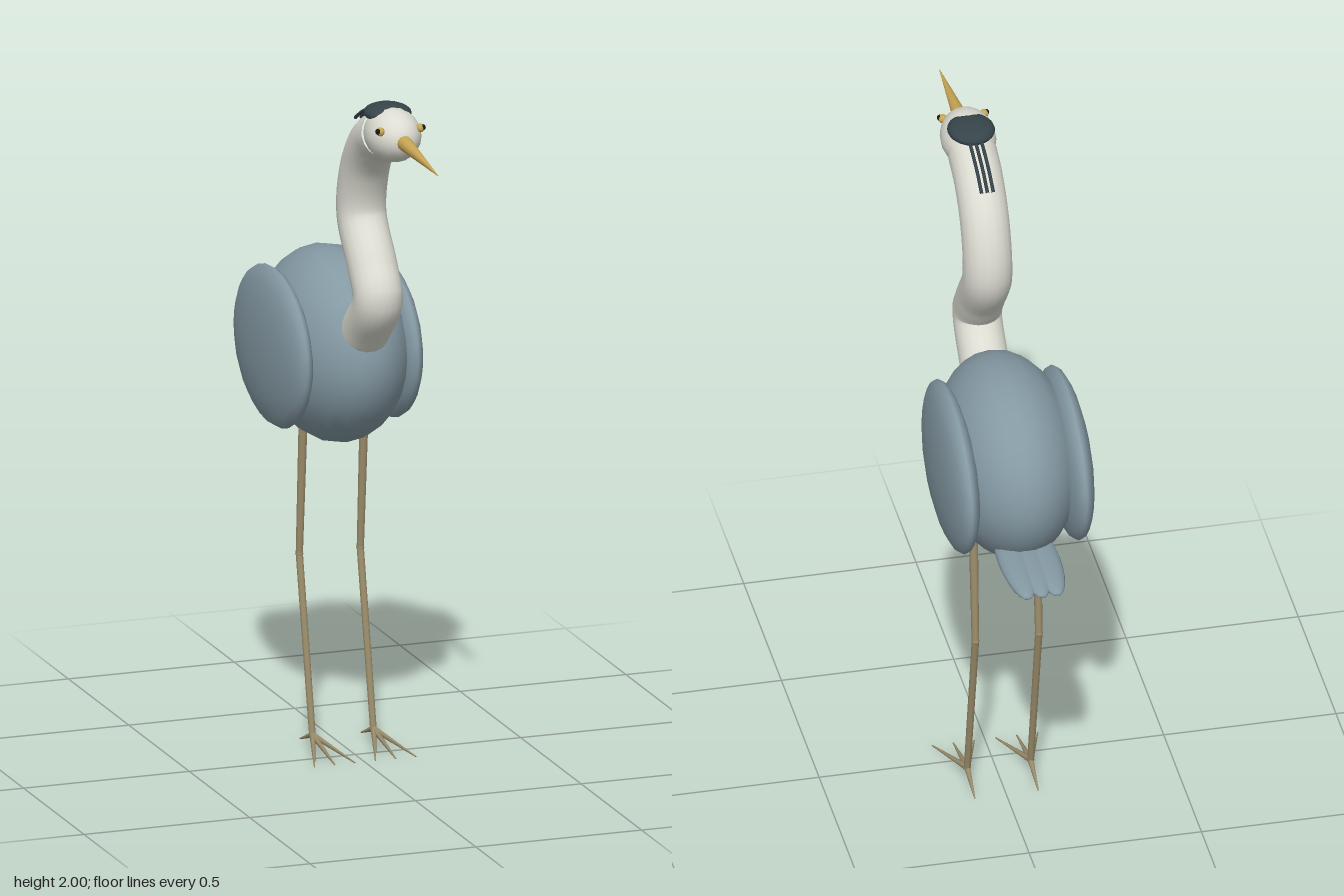
import * as THREE from 'three';

const mat = (name, color) => {
  const m = new THREE.MeshStandardMaterial({ color });
  m.name = name;
  return m;
};
const V = (x, y, z) => new THREE.Vector3(x, y, z);

export function createModel() {
  const plumage = mat('slate blue plumage', 0x8499a3);
  const white = mat('off-white', 0xdcdcd2);
  const dark = mat('dark crest', 0x36444a);
  const horn = mat('ochre beak', 0xc9a654);
  const skin = mat('tan legs', 0x9c8e6c);
  const pupilBlack = mat('pupil black', 0x15181a);

  const group = new THREE.Group();
  group.name = 'wadingBird';
  const add = (parent, name, geo, material) => {
    const m = new THREE.Mesh(geo, material);
    m.name = name;
    parent.add(m);
    return m;
  };
  // Ellipsoid with its poles along the z axis
  const ellipsoid = (parent, name, c, r, material, ws = 20, hs = 14) => {
    const g = new THREE.SphereGeometry(1, ws, hs).rotateX(Math.PI / 2).scale(...r).translate(...c);
    return add(parent, name, g, material);
  };
  // Tapered rod between two points
  const rod = (parent, name, a, b, ra, rb, material, sides = 8) => {
    const dir = b.clone().sub(a);
    const m = add(parent, name, new THREE.CylinderGeometry(rb, ra, dir.length(), sides), material);
    m.position.copy(a).add(b).multiplyScalar(0.5);
    m.quaternion.setFromUnitVectors(V(0, 1, 0), dir.normalize());
    return m;
  };

  // Body and folded wings
  ellipsoid(group, 'body', [0, 1.168, -0.193], [0.2, 0.281, 0.335], plumage, 24, 16);
  for (const s of [1, -1]) {
    ellipsoid(group, s > 0 ? 'leftWing' : 'rightWing',
      [s * 0.166, 1.167, -0.22], [0.057, 0.232, 0.29], plumage);
  }

  // Tail of three overlapping feathers
  for (const i of [-1, 0, 1]) {
    ellipsoid(group, 'tailFeather', [i * 0.043, 1.005, -0.5], [0.046, 0.023, 0.188], plumage, 14, 12);
  }

  // S-shaped neck
  const neckPath = new THREE.CatmullRomCurve3([
    V(0, 1.2, 0), V(0, 1.3, 0.105), V(0, 1.4, 0.19), V(0, 1.485, 0.145),
    V(0, 1.62, 0.053), V(0, 1.77, 0.085), V(0, 1.868, 0.17), V(0, 1.905, 0.25),
  ]);
  add(group, 'neck', new THREE.TubeGeometry(neckPath, 40, 0.071, 18, false), white);

  // Head, crown and beak
  const head = new THREE.Group();
  head.name = 'head';
  group.add(head);
  ellipsoid(head, 'skull', [0, 1.92, 0.31], [0.079, 0.078, 0.106], white);
  ellipsoid(head, 'crown', [0, 1.974, 0.27], [0.068, 0.027, 0.073], dark);
  rod(head, 'beak', V(0, 1.922, 0.385), V(0, 1.9, 0.688), 0.024, 0.001, horn, 12);

  // Trailing crest plumes
  for (const i of [-1, 0, 1]) {
    const x = i * 0.017;
    const path = new THREE.CatmullRomCurve3([
      V(x, 1.975, 0.23), V(x, 1.958, 0.17), V(x, 1.935, 0.11), V(x, 1.9, 0.05),
    ]);
    add(head, 'crestPlume', new THREE.TubeGeometry(path, 10, 0.005, 6, false), dark);
  }

  for (const s of [1, -1]) {
    // Eye
    ellipsoid(head, 'eye', [s * 0.06, 1.95, 0.374], [0.013, 0.013, 0.013], horn, 12, 8);
    ellipsoid(head, 'pupil', [s * 0.067, 1.952, 0.377], [0.009, 0.009, 0.009], pupilBlack, 10, 8);

    // Leg with backward-bending joint and four toes
    const leg = new THREE.Group();
    leg.name = s > 0 ? 'leftLeg' : 'rightLeg';
    group.add(leg);
    const x = s * 0.092;
    const knee = V(x, 0.55, -0.208), ankle = V(x, 0.045, -0.1);
    rod(leg, 'upperLeg', V(x, 1.0, -0.173), knee, 0.014, 0.011, skin);
    rod(leg, 'lowerLeg', knee, ankle, 0.011, 0.01, skin);
    ellipsoid(leg, 'kneeJoint', knee.toArray(), [0.012, 0.012, 0.012], skin, 8, 6);
    ellipsoid(leg, 'ankleJoint', ankle.toArray(), [0.011, 0.011, 0.011], skin, 8, 6);
    for (const [dx, z] of [[-0.061, 0.085], [0, 0.085], [0.061, 0.085], [0, -0.2]]) {
      rod(leg, z > 0 ? 'frontToe' : 'backToe', ankle, V(x + dx, 0.006, z), 0.009, 0.002, skin, 6);
    }
  }
  return group;
}
